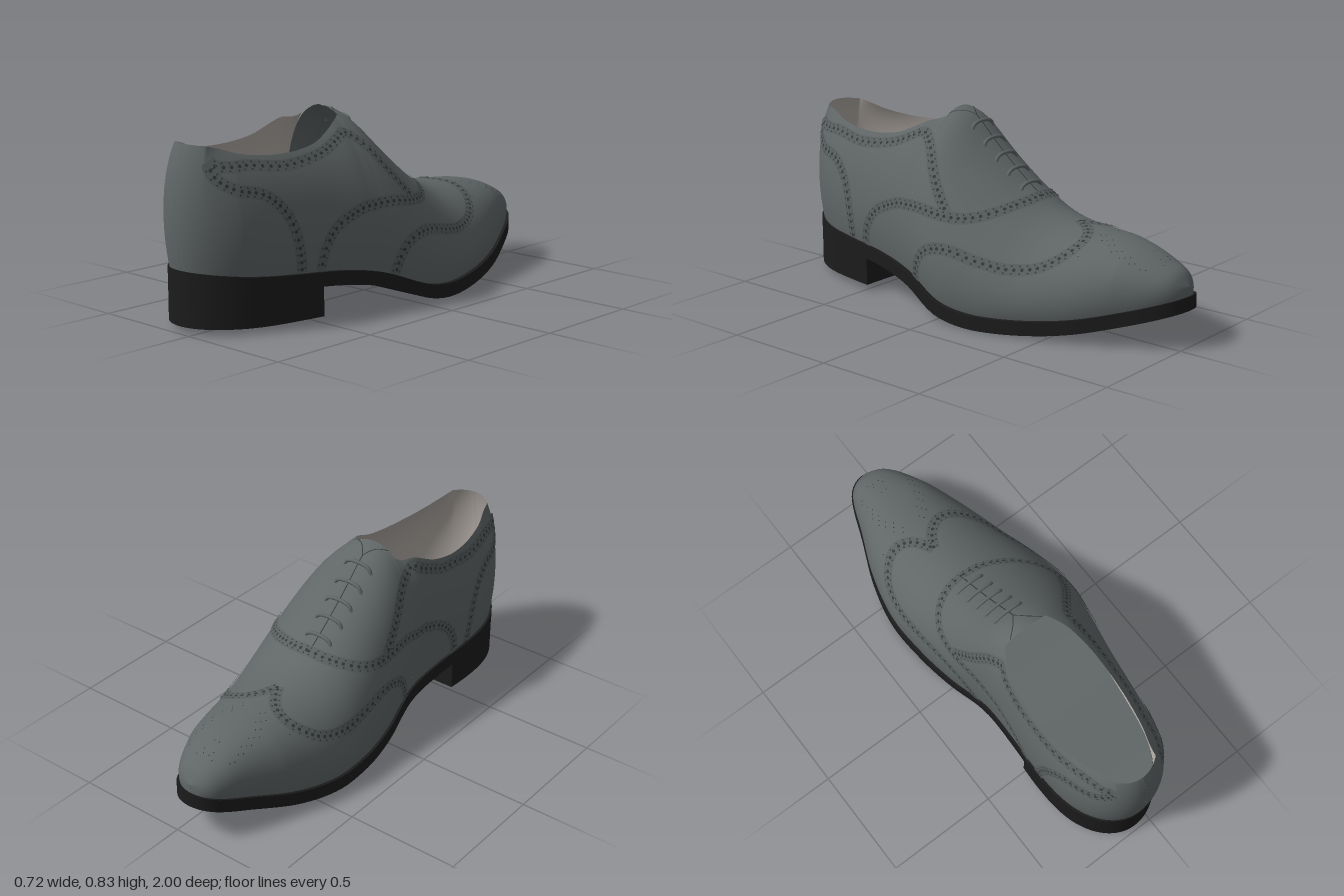
import * as THREE from 'three';
import { mergeGeometries, toCreasedNormals } from 'three/addons/utils/BufferGeometryUtils.js';

const mat = (name, color) => Object.assign(new THREE.MeshStandardMaterial({ color }), { name });
const V = (x, y, z) => new THREE.Vector3(x, y, z);
const { clamp, lerp, smoothstep } = THREE.MathUtils;

// Smooth curve through [x, y] pairs
const curve = (...p) => (x) => {
  x = clamp(x, p[0][0], p[p.length - 1][0]);
  let i = 0;
  while (i < p.length - 2 && x > p[i + 1][0]) i++;
  const slope = (j) => {
    const a = p[Math.max(j - 1, 0)], b = p[Math.min(j + 1, p.length - 1)];
    return (b[1] - a[1]) / (b[0] - a[0]);
  };
  const h = p[i + 1][0] - p[i][0], t = (x - p[i][0]) / h, t2 = t * t, t3 = t2 * t;
  return p[i][1] * (2 * t3 - 3 * t2 + 1) + p[i + 1][1] * (3 * t2 - 2 * t3)
    + h * (slope(i) * (t3 - 2 * t2 + t) + slope(i + 1) * (t3 - t2));
};

// Proportions along the shoe: toe at -z, heel at +z
const CX = -0.07, K0 = -0.985, K1 = 0.98, THROAT = 0.2;
const toTheta = (k) => Math.acos(clamp((k + 0.0025) / 0.9825, -1, 1));
const toK = (a) => -0.0025 + 0.9825 * Math.cos(a);
const inner = curve([-0.985, 0.34], [-0.9, 0.285], [-0.8, 0.265], [-0.6, 0.3], [-0.4, 0.31], [-0.2, 0.282],
  [0, 0.25], [0.2, 0.22], [0.4, 0.241], [0.6, 0.291], [0.8, 0.355], [0.9, 0.385], [0.98, 0.41]);
const outer = curve([-0.985, 0.36], [-0.9, 0.335], [-0.8, 0.332], [-0.6, 0.365], [-0.4, 0.394], [-0.2, 0.418],
  [0, 0.423], [0.2, 0.378], [0.4, 0.356], [0.6, 0.367], [0.8, 0.405], [0.9, 0.42], [0.98, 0.43]);
const width = (side, k) => Math.max(1e-4, Math.sin(toTheta(k)) * (side < 0 ? inner : outer)(k));
const soleTop = curve([-1, 0.22], [-0.8, 0.155], [-0.6, 0.1], [-0.4, 0.07], [-0.2, 0.06], [-0.1, 0.068], [0, 0.09],
  [0.2, 0.165], [0.4, 0.2], [0.6, 0.215], [0.8, 0.23], [0.98, 0.25]);
const soleBottom = (k) => soleTop(k) - 0.06;
const ridge = curve([-0.985, 0.25], [-0.95, 0.3], [-0.9, 0.33], [-0.8, 0.37], [-0.7, 0.393], [-0.6, 0.405], [-0.5, 0.413],
  [-0.4, 0.427], [-0.3, 0.46], [-0.2, 0.52], [-0.1, 0.595], [0, 0.68], [0.1, 0.775], [0.15, 0.81], [0.2, 0.825]);
const collarY = curve([0.2, 0.79], [0.25, 0.78], [0.3, 0.755], [0.4, 0.71], [0.5, 0.69], [0.6, 0.685], [0.7, 0.69],
  [0.8, 0.705], [0.9, 0.735], [0.98, 0.75]);
const opening = curve([0.2, 0.105], [0.25, 0.135], [0.3, 0.157], [0.4, 0.179], [0.5, 0.182], [0.6, 0.175], [0.7, 0.16],
  [0.8, 0.138], [0.9, 0.105], [0.98, 0.09]);

const bisect = (lo, hi, low) => {
  for (let i = 0; i < 30; i++) { const m = (lo + hi) / 2; if (low(m)) lo = m; else hi = m; }
  return (lo + hi) / 2;
};

// Half cross-section: an arch that is cut off at "end" where the shoe is open
function section(side, k) {
  const w = width(side, k), y0 = soleTop(k) - 0.005, c = Math.max(0.5, Math.min(0.185 / w, 0.85));
  const X = (t) => 0.96 * (1 - t) ** 3 + 3.36 * t * (1 - t) ** 2 + 3 * c * t * t * (1 - t);
  const Q = (t) => 1.5 * t * (1 - t) ** 2 + 3 * t * t * (1 - t) + t ** 3;
  let end = 1, height = ridge(k) - y0;
  if (k > THROAT) {
    const r = Math.min(opening(k) / w, 0.8);
    end = bisect(0.15, 1, (t) => X(t) > r);
    height = lerp(height, (collarY(k) - y0) / Q(end), smoothstep(k, THROAT, 0.29));
  }
  return { w, y0, X, Q, end, height };
}
// Point on the upper: v runs from the sole (0) to the ridge or collar (1)
function P(side, k, v) {
  const { w, y0, X, Q, end, height } = section(side, k);
  const t = v * end, lean = smoothstep(k, 0.6, 0.98);
  return V(CX + side * w * X(t), y0 + height * Q(t), k + lean * (0.105 * v - 0.13 * v * v));
}
function normal(side, k, v) {
  const e = 0.002;
  const lo = k > THROAT ? THROAT + 1e-6 : K0, hi = k > THROAT ? K1 : THROAT;
  const dk = P(side, Math.min(k + e, hi), v).sub(P(side, Math.max(k - e, lo), v));
  const dv = P(side, k, Math.min(v + e, 1)).sub(P(side, k, Math.max(v - e, 0)));
  return dv.cross(dk).multiplyScalar(side).normalize();
}
// Station and arch parameter of a point seen from the side
function locate(side, z, y) {
  let k = z, v = 0.5;
  for (let i = 0; i < 6; i++) {
    v = bisect(0, 1, (m) => P(side, k, m).y < y);
    k = clamp(k + z - P(side, k, v).z, K0, K1);
  }
  return [k, v * section(side, k).end];
}

function geometry(pos, nor, index) {
  const g = new THREE.BufferGeometry();
  g.setAttribute('position', new THREE.Float32BufferAttribute(pos, 3));
  if (nor) g.setAttribute('normal', new THREE.Float32BufferAttribute(nor, 3));
  g.setIndex(index);
  return g;
}

// Half shell between two stations; inset > 0 gives the inward-facing lining
function shell(side, from, to, inset = 0) {
  const pos = [], nor = [], idx = [], N = 70, M = 26, a = toTheta(from), b = toTheta(to);
  for (let i = 0; i <= N; i++) for (let j = 0; j <= M; j++) {
    const k = clamp(toK(a + (b - a) * i / N), from, to), v = j / M, n = normal(side, k, v);
    pos.push(...P(side, k, v).addScaledVector(n, -inset * Math.min(1, (1 - v) * 8 + (k < THROAT ? 0.3 : 0))));
    nor.push(...n.multiplyScalar(inset ? -1 : 1));
    if (i < N && j < M) {
      const p = i * (M + 1) + j, q = p + M + 1;
      if ((side > 0) !== inset > 0) idx.push(p, p + 1, q, q, p + 1, q + 1);
      else idx.push(p, q, p + 1, q, q + 1, p + 1);
    }
  }
  return geometry(pos, nor, idx);
}

// Slab following the shoe outline
function slab(from, to, top, bottom, scale) {
  const pos = [], idx = [], N = 80, a = toTheta(from), b = toTheta(to);
  for (let i = 0; i <= N; i++) {
    const k = toK(a + (b - a) * i / N), z = k * (scale < 1 ? 0.99 : k < 0 ? 1.015 : 1.005);
    const l = CX - width(-1, k) * scale, r = CX + width(1, k) * scale;
    pos.push(l, top(k), z, r, top(k), z, r, bottom(k), z, l, bottom(k), z);
    for (let j = 0; i < N && j < 4; j++) {
      const p = i * 4 + j, q = i * 4 + (j + 1) % 4;
      idx.push(p, p + 4, q, q, p + 4, q + 4);
    }
  }
  const e = N * 4;
  idx.push(0, 1, 2, 0, 2, 3, e, e + 2, e + 1, e, e + 3, e + 2);
  return toCreasedNormals(geometry(pos, null, idx), 0.6);
}

// Frames along a path of [station, arch parameter] pairs on the upper
function trace(side, pts, n = 130) {
  const path = new THREE.CatmullRomCurve3(pts.map(([k, t]) => V(k, t, 0)), false, 'centripetal').getPoints(n);
  const f = path.map((q) => {
    const k = clamp(q.x, K0, K1), v = clamp(q.y / section(side, k).end, 0, 1);
    return { p: P(side, k, v), n: normal(side, k, v) };
  });
  f.forEach((o, i) => {
    const t = f[Math.min(i + 1, n)].p.clone().sub(f[Math.max(i - 1, 0)].p);
    o.b = o.n.clone().cross(t).normalize();
  });
  return f;
}
function strip(frames, w, lift) {
  const pos = [], nor = [], idx = [];
  frames.forEach(({ p, n, b }, i) => {
    for (const s of [-1, 1]) {
      pos.push(...p.clone().addScaledVector(n, lift).addScaledVector(b, s * w / 2));
      nor.push(...n);
    }
    const q = i * 2;
    if (i < frames.length - 1) idx.push(q, q + 2, q + 1, q + 1, q + 2, q + 3);
  });
  return geometry(pos, nor, idx);
}
function dot(p, n, r, lift) {
  const g = new THREE.CircleGeometry(r, 8);
  g.applyQuaternion(new THREE.Quaternion().setFromUnitVectors(V(0, 0, 1), n));
  return g.translate(...p.clone().addScaledVector(n, lift));
}

// Brogue bands as [z, y] seen from the side, or [station, , arch] where they cross the top
const BANDS = {
  collarBand: [[0.92, 0.69], [0.8, 0.66], [0.6, 0.64], [0.4, 0.668], [0.3, 0.71], [0.245, 0.728], [0.19, 0.69], [0.1, 0.57], [0, 0.45]],
  heelCounterBand: [[0.925, 0.68], [0.91, 0.62], [0.85, 0.575], [0.75, 0.55], [0.68, 0.5], [0.63, 0.42], [0.6, 0.3], [0.59, 0.22]],
  quarterBand: [[0.5, 0.21], [0.48, 0.3], [0.42, 0.38], [0.3, 0.435], [0.15, 0.45], [0, 0.435], [-0.1, 0.435], [-0.18, 0.46], [-0.23, 0, 0.85], [-0.24, 0, 1]],
  toeCapBand: [[0.14, 0.13], [0.12, 0.22], [0.06, 0.29], [-0.05, 0.31], [-0.2, 0.28], [-0.33, 0.265], [-0.45, 0.285], [-0.53, 0.34],
    [-0.555, 0, 0.75], [-0.54, 0, 0.86], [-0.5, 0, 0.94], [-0.44, 0, 1]],
};

export function createModel() {
  const shoe = new THREE.Group();
  shoe.name = 'shoe';
  const leather = mat('leather', 0x606666), lining = mat('lining', 0xb5aea8), sole = mat('sole', 0x1c1c1c);
  const trim = mat('trim', 0x585e5e), dark = mat('perforation', 0x343838);
  const add = (name, g, m) => { const o = new THREE.Mesh(g, m); o.name = name; shoe.add(o); };

  // Upper and lining
  const back = THROAT + 1e-6, sides = [-1, 1];
  add('vamp', mergeGeometries(sides.map((s) => shell(s, K0, THROAT))), leather);
  add('quarters', mergeGeometries(sides.map((s) => shell(s, back, K1))), leather);
  add('tongueInside', mergeGeometries(sides.map((s) => shell(s, -0.5, THROAT, 0.008))), leather);
  add('collarLining', mergeGeometries(sides.map((s) => shell(s, back, K1, 0.008))), lining);

  // Sole, heel and insole
  add('sole', slab(K0, K1, soleTop, soleBottom, 1.01), sole);
  add('heel', slab(0.488, K1, (k) => soleBottom(k) + 0.01, () => 0.025, 1.005), sole);
  add('insole', slab(-0.6, 0.97, (k) => soleTop(k) + 0.012, soleTop, 0.93), leather);

  // Brogue bands with punched holes
  for (const [name, pts] of Object.entries(BANDS)) {
    const bands = [], holes = [];
    for (const s of sides) {
      const f = trace(s, pts.map((p) => p.length > 2 ? [p[0], p[2]] : locate(s, p[0], p[1])));
      bands.push(strip(f, 0.052, 0.005));
      let run = 0;
      for (let i = 1; i < f.length; i++) {
        run += f[i].p.distanceTo(f[i - 1].p);
        if (run < 0.028) continue;
        run = 0;
        const { p, n, b } = f[i];
        holes.push(dot(p, n, 0.008, 0.0065));
        const mid = p.clone().lerp(f[i - 1].p, 0.9);
        for (const e of [-1, 1]) holes.push(dot(mid.clone().addScaledVector(b, e * 0.016), n, 0.004, 0.0065));
      }
    }
    add(name, mergeGeometries(bands), trim);
    add(name + 'Holes', mergeGeometries(holes), dark);
  }

  // Toe medallion
  const spots = [];
  for (let i = 0; i < 22; i++) for (const s of sides) {
    const k = -0.58 - 0.32 * ((i * 0.618) % 1), v = 0.6 + 0.38 * ((i * 0.367) % 1);
    spots.push(dot(P(s, k, v), normal(s, k, v), 0.003, 0.002));
  }
  add('toeMedallion', mergeGeometries(spots), dark);

  // Lacing slit, tongue lines and laces
  add('lacingSlit', strip(trace(1, [[0.12, 1], [-0.05, 1], [-0.22, 1]]), 0.005, 0.003), dark);
  add('tongueLines', mergeGeometries(sides.map((s) => strip(trace(s, [[0.12, 1], [0.16, 0.94], [0.199, 0.85]], 20), 0.004, 0.003))), dark);
  for (const k of [-0.18, -0.11, -0.045, 0.02, 0.085]) {
    const y = ridge(k);
    const path = [[-0.07, -0.025], [-0.055, 0.002], [0, 0.013], [0.055, 0.002], [0.07, -0.025]].map(([x, h]) => V(CX + x, y + h, k));
    add('lace', new THREE.TubeGeometry(new THREE.CatmullRomCurve3(path), 24, 0.008, 8), leather);
  }
  return shoe;
}
